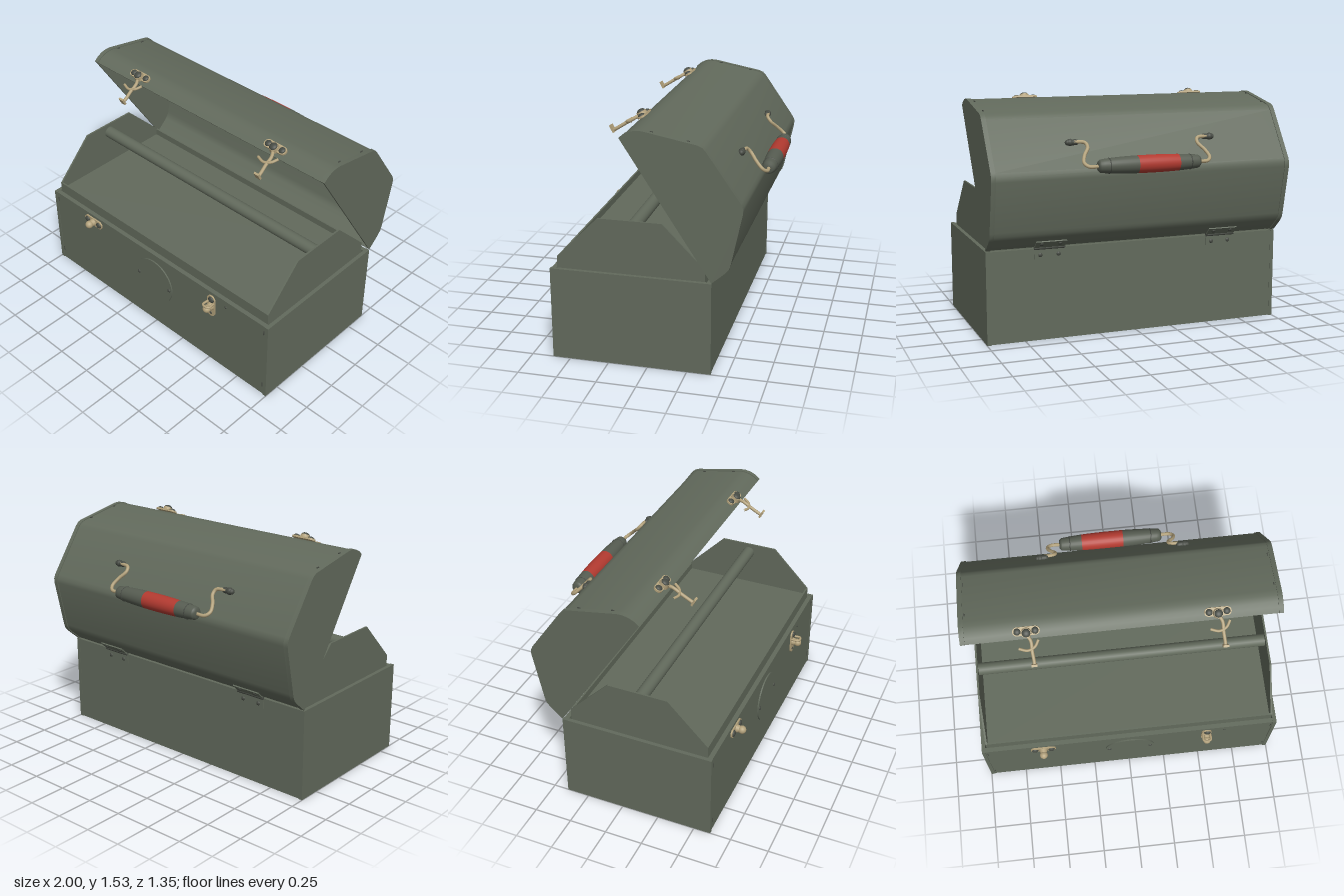
import * as THREE from 'three';
import { toCreasedNormals } from 'three/addons/utils/BufferGeometryUtils.js';

const mat = (name, color) => new THREE.MeshStandardMaterial({ name, color });

export function createModel() {
  const green = mat('olive green paint', 0x626a5c);
  const brass = mat('brass', 0xb3a27c);
  const red = mat('red grip', 0xb23a30);
  const steel = mat('dark steel', 0x474b44);
  const gripGreen = mat('grey green grip', 0x565c51);
  const root = new THREE.Group();
  root.name = 'toolbox';

  const group = (name, parent = root) => {
    const g = new THREE.Group();
    g.name = name;
    parent.add(g);
    return g;
  };
  const add = (parent, name, geo, material, x = 0, y = 0, z = 0) => {
    const m = new THREE.Mesh(geo, material);
    m.name = name;
    m.position.set(x, y, z);
    parent.add(m);
    return m;
  };
  const box = (parent, name, material, w, h, d, x, y, z) =>
    add(parent, name, new THREE.BoxGeometry(w, h, d), material, x, y, z);
  // Side profile given as [z, y], extruded along x and centred on it
  const slab = (pts, width) => {
    const shape = new THREE.Shape(pts.map(([z, y]) => new THREE.Vector2(-z, y)));
    const geo = new THREE.ExtrudeGeometry(shape, { depth: width, bevelEnabled: false });
    geo.translate(0, 0, -width / 2).rotateY(Math.PI / 2);
    return toCreasedNormals(geo, 0.5);
  };
  const tube = (pts, r, segments = 24) => new THREE.TubeGeometry(
    new THREE.CatmullRomCurve3(pts.map(p => new THREE.Vector3(...p))), segments, r, 8);
  // Domed rivet head pointing along +z
  const dome = (r, flat = 0.6) => new THREE.SphereGeometry(r, 16, 8, 0, Math.PI * 2, 0, Math.PI / 2)
    .scale(1, flat, 1).rotateX(Math.PI / 2);
  // Plate with round ends, lying in xy
  const pill = (length, width, depth) => {
    const s = new THREE.Shape(), r = width / 2, a = length / 2 - r;
    s.absarc(a, 0, r, -Math.PI / 2, Math.PI / 2);
    s.absarc(-a, 0, r, Math.PI / 2, Math.PI * 1.5);
    return toCreasedNormals(new THREE.ExtrudeGeometry(s, { depth, bevelEnabled: false, curveSegments: 10 }), 0.6);
  };

  // Lower box
  const base = group('lowerBox');
  box(base, 'frontWall', green, 1.98, 0.595, 0.03, 0, 0.3, 0.593);
  box(base, 'backWall', green, 1.98, 0.595, 0.03, 0, 0.3, -0.383);
  box(base, 'floor', green, 1.96, 0.012, 0.97, 0, 0.018, 0.105);
  for (const s of [-1, 1]) {
    box(base, 'endWall', green, 0.025, 0.6, 1.012, s * 0.9875, 0.3, 0.106);
    for (const y of [0.085, 0.545]) box(base, 'seamSlit', steel, 0.006, 0.035, 0.006, s * 0.965, y, 0.608);
  }

  // Round cover on the front
  add(base, 'roundCover', new THREE.CylinderGeometry(0.167, 0.167, 0.01, 48).rotateX(Math.PI / 2), green, 0, 0.375, 0.612);
  for (const s of [-1, 1]) add(base, 'coverScrew', dome(0.014), steel, s * 0.142, 0.375, 0.616);
  add(base, 'smallRivet', dome(0.009), steel, 0.645, 0.545, 0.607);

  // Inner tray with gabled ends and a carrying bar
  const tray = group('tray');
  const gable = [[0.575, 0.45], [0.575, 0.67], [0.31, 0.94], [-0.09, 0.94], [-0.355, 0.67], [-0.355, 0.45]];
  for (const s of [-1, 1]) add(tray, 'trayEnd', slab(gable, 0.012), green, s * 0.96);
  box(tray, 'trayFront', green, 1.92, 0.22, 0.012, 0, 0.56, 0.569);
  box(tray, 'trayBack', green, 1.92, 0.22, 0.012, 0, 0.56, -0.349);
  box(tray, 'trayFloor', green, 1.92, 0.012, 0.92, 0, 0.618, 0.11);
  add(tray, 'carryBar', new THREE.CylinderGeometry(0.041, 0.041, 1.92, 24).rotateZ(Math.PI / 2), green, 0, 0.875, 0.11);

  // Open lid: bent sheet between two end plates
  const lid = group('lid');
  const outline = [[0.155, 1.46], [0.125, 1.485], [0.09, 1.502], [0.05, 1.51], [0.015, 1.509], [-0.31, 1.448],
    [-0.34, 1.436], [-0.36, 1.415], [-0.57, 1.115], [-0.583, 1.085], [-0.582, 1.055], [-0.515, 0.735],
    [-0.505, 0.705], [-0.485, 0.68], [-0.40, 0.605]];
  const inset = d => outline.map(([z, y], i) => {
    const a = outline[Math.max(i - 1, 0)], b = outline[Math.min(i + 1, outline.length - 1)];
    const dz = b[0] - a[0], dy = b[1] - a[1], l = Math.hypot(dz, dy);
    return [z - dy / l * d, y + dz / l * d];
  });
  add(lid, 'lidSheet', slab([...inset(0.005), ...inset(0.017).reverse()], 1.96), green);
  for (const s of [-1, 1]) {
    add(lid, 'lidEnd', slab(outline, 0.012), green, s * 0.994);
    add(lid, 'lidEndFlange', slab([...outline, ...inset(0.008).reverse()], 0.03), green, s * 0.985);
    for (const [z, y] of [[-0.25, 1.457], [-0.03, 1.498]]) box(lid, 'lidSlit', steel, 0.006, 0.006, 0.02, s * 0.96, y, z);
  }

  // Lid latches: plate, rivets, curved yoke and hooked arm
  for (const x of [-0.59, 0.59]) {
    const latch = group('lidLatch', lid);
    latch.position.set(x, 1.496, 0.115);
    latch.rotation.x = 0.49;
    add(latch, 'latchPlate', pill(0.17, 0.055, 0.012).rotateX(-Math.PI / 2), brass, 0, -0.004, 0);
    for (const s of [-1, 1]) add(latch, 'latchRivet', dome(0.022).rotateX(-Math.PI / 2), steel, s * 0.055, 0.008, 0);
    add(latch, 'latchPivot', new THREE.CylinderGeometry(0.03, 0.034, 0.03, 20), brass, 0, 0.012, 0.01);
    add(latch, 'pivotRivet', dome(0.027).rotateX(-Math.PI / 2), steel, 0, 0.026, 0.01);
    add(latch, 'latchArm', tube([[-0.01, 0.012, 0.01], [0.022, 0.008, 0.06], [0.025, 0.004, 0.13], [0.03, 0, 0.19], [0.03, 0.0, 0.215]], 0.011), brass);
    add(latch, 'latchYoke', tube([[-0.055, 0.004, 0.105], [0, 0.008, 0.12], [0.045, 0.008, 0.1], [0.07, 0.004, 0.06]], 0.009), brass);
    box(latch, 'latchHook', brass, 0.036, 0.05, 0.014, 0.03, 0.01, 0.215);
  }

  // Front catches
  const knobCatch = group('knobCatch');
  knobCatch.position.set(-0.59, 0.548, 0.608);
  add(knobCatch, 'catchPlate', pill(0.17, 0.06, 0.01), brass);
  for (const s of [-1, 1]) add(knobCatch, 'catchRivet', dome(0.022), steel, s * 0.056, 0, 0.01);
  add(knobCatch, 'catchStem', new THREE.CylinderGeometry(0.02, 0.028, 0.04, 20).rotateX(Math.PI / 2), brass, 0, 0, 0.025);
  add(knobCatch, 'catchKnob', new THREE.SphereGeometry(0.027, 20, 12), brass, 0, 0, 0.046);

  const loopCatch = group('loopCatch');
  loopCatch.position.set(0.525, 0.49, 0.608);
  add(loopCatch, 'catchPlate', pill(0.17, 0.065, 0.01).rotateZ(Math.PI / 2), brass);
  add(loopCatch, 'catchRivet', dome(0.023), steel, 0.005, 0.057, 0.01);
  add(loopCatch, 'catchHole', dome(0.011), steel, 0, -0.058, 0.008);
  add(loopCatch, 'catchStem', new THREE.CylinderGeometry(0.021, 0.028, 0.04, 20).rotateX(Math.PI / 2), brass, 0, 0, 0.028);
  add(loopCatch, 'catchKnob', new THREE.SphereGeometry(0.027, 20, 12), brass, 0, 0, 0.046);
  add(loopCatch, 'catchLoop', tube([[-0.024, 0.03, 0.01], [-0.024, 0.03, 0.055], [0, 0.03, 0.063], [0.024, 0.03, 0.055], [0.024, 0.03, 0.01]], 0.008), brass);

  // Carrying handle: three-part grip on wire bails
  const handle = group('handle');
  const grip = new THREE.Group();
  grip.name = 'grip';
  grip.position.set(0, 1.13, -0.615);
  handle.add(grip);
  const radius = x => 0.056 - 0.016 * Math.pow(Math.abs(x) / 0.34, 2.5);
  const gripPart = (name, a, b, material, capped) => {
    const pts = [];
    if (capped < 0) pts.push([0, a], [radius(a) - 0.012, a], [radius(a), a + 0.012]);
    for (let i = capped < 0 ? 1 : 0; i <= 8; i++) {
      const x = a + (b - a) * i / 8;
      if (i < 8 || capped <= 0) pts.push([radius(x), x]);
    }
    if (capped > 0) pts.push([radius(b), b - 0.012], [radius(b) - 0.012, b], [0, b]);
    const geo = new THREE.LatheGeometry(pts.map(p => new THREE.Vector2(...p)), 28).rotateZ(-Math.PI / 2);
    add(grip, name, geo, material);
  };
  gripPart('gripEnd', -0.34, -0.19, gripGreen, -1);
  gripPart('gripMiddle', -0.19, 0.085, red, 0);
  gripPart('gripEnd', 0.085, 0.34, gripGreen, 1);
  for (const s of [-1, 1]) {
    add(grip, 'gripRing', new THREE.TorusGeometry(0.046, 0.004, 6, 28).rotateY(Math.PI / 2), steel, s * 0.27);
    add(handle, 'handleWire', tube([[s * 0.45, 1.268, -0.475], [s * 0.38, 1.262, -0.485], [s * 0.37, 1.235, -0.508],
      [s * 0.405, 1.19, -0.55], [s * 0.42, 1.15, -0.59], [s * 0.395, 1.13, -0.615], [s * 0.32, 1.13, -0.615]], 0.0115, 40), brass);
    const bracket = group('handleBracket', handle);
    bracket.position.set(s * 0.46, 1.265, -0.468);
    bracket.rotation.x = -0.96 + Math.PI / 2 - 1.22;
    add(bracket, 'bracketBarrel', new THREE.CapsuleGeometry(0.019, 0.05, 4, 12).rotateZ(Math.PI / 2), steel);
    add(bracket, 'bracketBoss', new THREE.SphereGeometry(0.023, 14, 10), steel, s * 0.012, 0, 0);
  }

  // Back hinges: two leaves, knuckle and screws
  for (const x of [-0.59, 0.59]) {
    const hinge = group('hinge');
    hinge.position.set(x, 0.602, -0.405);
    add(hinge, 'hingeKnuckle', new THREE.CylinderGeometry(0.011, 0.011, 0.2, 12).rotateZ(Math.PI / 2), steel);
    box(hinge, 'lowerLeaf', green, 0.2, 0.07, 0.008, 0, -0.037, 0.005);
    const upper = group('upperLeaf', hinge);
    upper.rotation.x = -0.8;
    box(upper, 'leafPlate', green, 0.2, 0.07, 0.008, 0, 0.037, 0);
    for (const s of [-1, 1]) {
      add(hinge, 'leafScrew', dome(0.014).rotateY(Math.PI), steel, s * 0.06, -0.045, 0.002);
      add(upper, 'leafScrew', dome(0.014).rotateY(Math.PI), steel, s * 0.06, 0.045, -0.003);
    }
  }
  return root;
}
